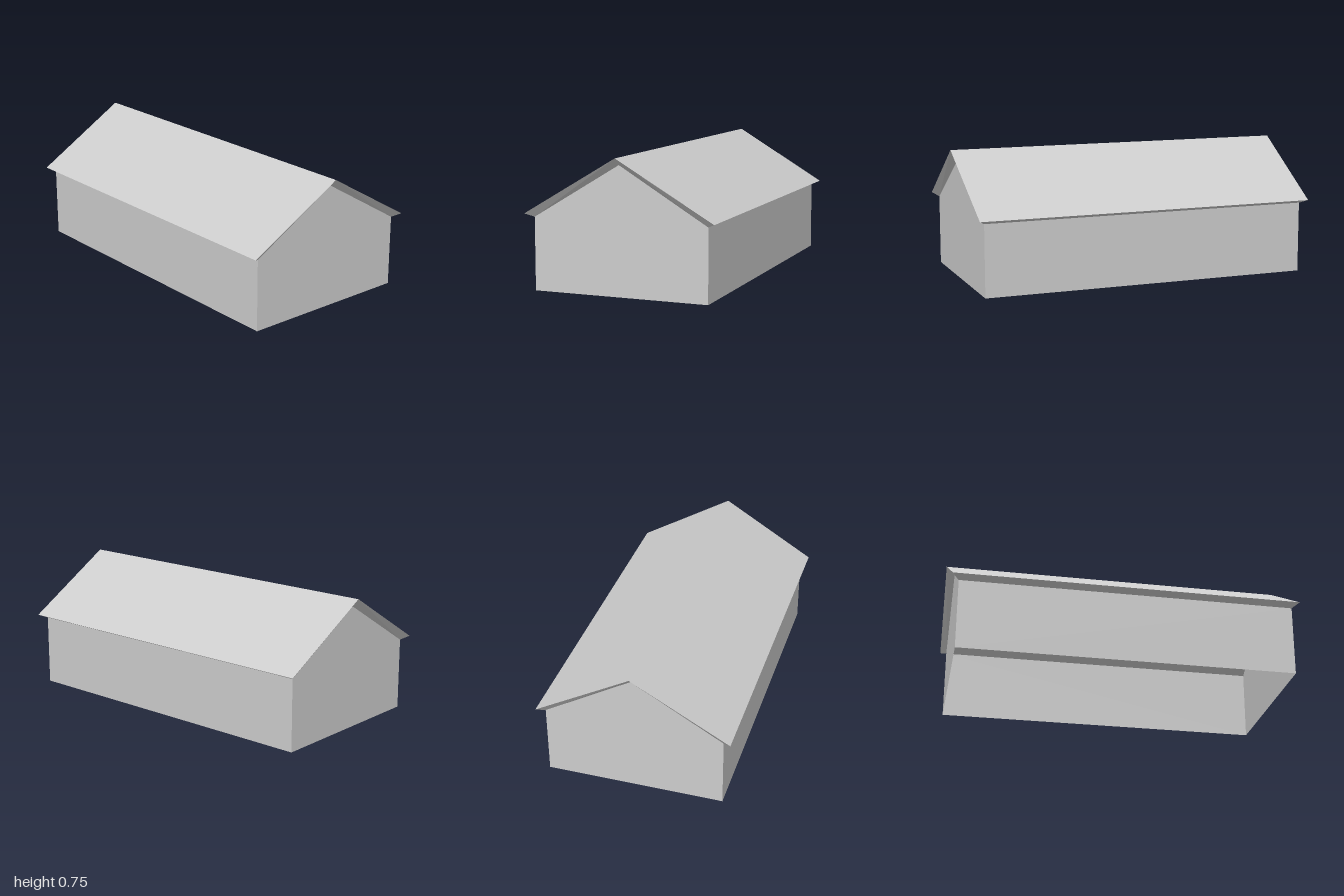
import * as THREE from 'three';

// Flat panel from a convex loop of corners, counter-clockwise from outside
function panel(name, corners, material) {
  const pos = [];
  for (let i = 1; i < corners.length - 1; i++) pos.push(...corners[0], ...corners[i], ...corners[i + 1]);
  const geo = new THREE.BufferGeometry();
  geo.setAttribute('position', new THREE.Float32BufferAttribute(pos, 3));
  geo.computeVertexNormals();
  const mesh = new THREE.Mesh(geo, material);
  mesh.name = name;
  return mesh;
}

export function createModel() {
  const grey = new THREE.MeshStandardMaterial({ color: 0xcccccc });
  grey.name = 'plain grey';
  grey.side = THREE.DoubleSide; // thin open shell without a floor

  const model = new THREE.Group();
  model.name = 'house';

  const mirrorX = ([x, y, z]) => [-x, y, z];
  const mirrorZ = ([x, y, z]) => [x, y, -z];

  const base = [0.5, 0, 0.95];
  const wallTop = [0.5, 0.405, 0.95];
  const gableTop = [0, 0.705, 0.95];
  const eave = [0.545, 0.425, 0.985];
  const ridge = [0, 0.745, 1];

  // Each half has one side wall, one gable and one roof slope; the other is turned half round
  for (const [half, turn] of [['front', 0], ['back', Math.PI]]) {
    const group = new THREE.Group();
    group.name = half + 'Half';
    group.rotation.y = turn;
    group.add(
      panel('sideWall', [base, mirrorZ(base), mirrorZ(wallTop), wallTop], grey),
      panel('gableWall', [gableTop, mirrorX(wallTop), mirrorX(base), base, wallTop], grey),
      panel('roofSlope', [eave, mirrorZ(eave), mirrorZ(ridge), ridge], grey),
      // Slanted undersides joining the walls to the roof edges
      panel('eaveSoffit', [wallTop, mirrorZ(wallTop), mirrorZ(eave), eave], grey),
      panel('gableSoffitLeft', [wallTop, eave, ridge, gableTop], grey),
      panel('gableSoffitRight', [mirrorX(wallTop), gableTop, ridge, mirrorX(eave)], grey),
    );
    model.add(group);
  }
  return model;
}
